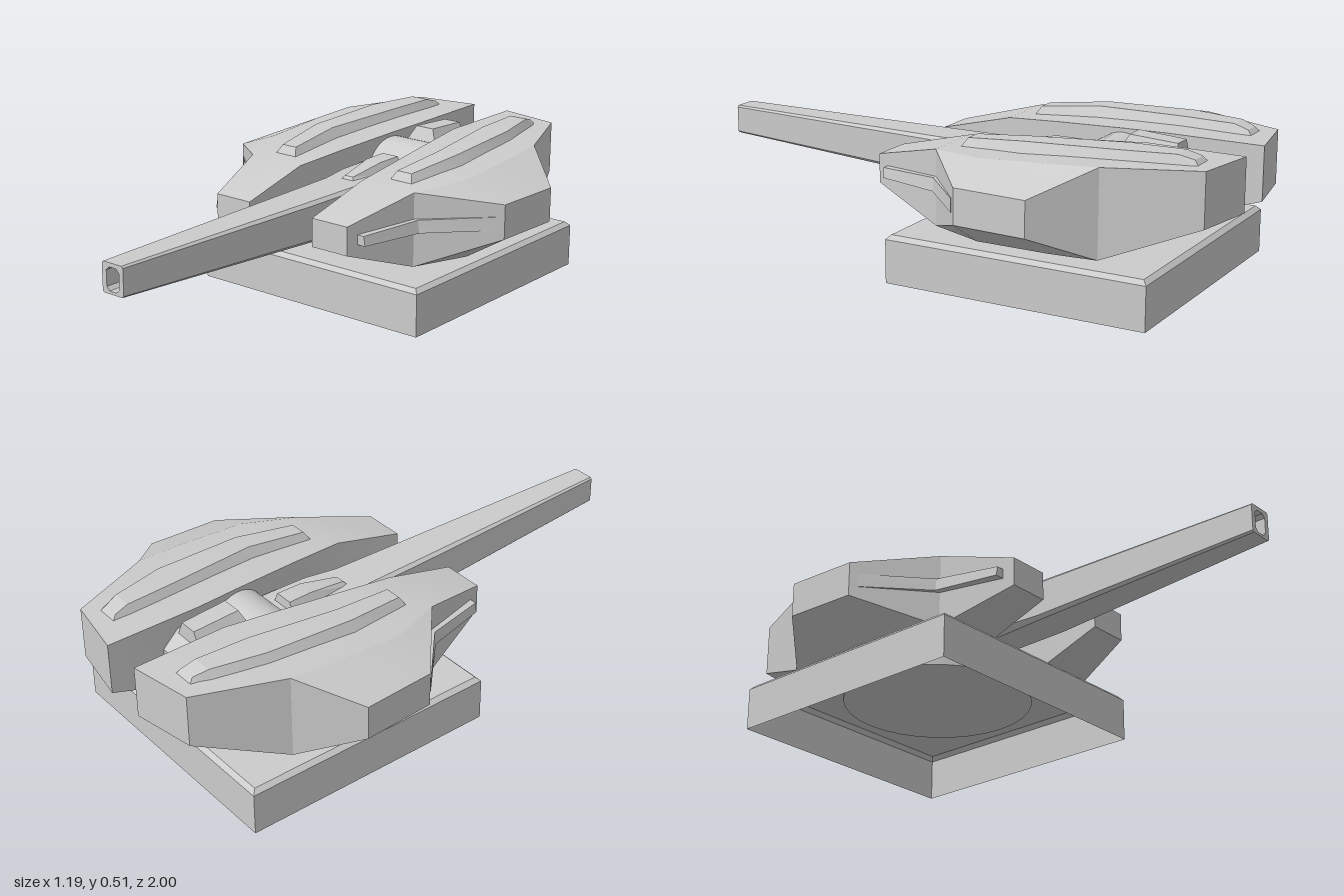
import * as THREE from 'three';
import { toCreasedNormals } from 'three/addons/utils/BufferGeometryUtils.js';

const material = new THREE.MeshStandardMaterial({ color: 0xcccccc });
const shellMaterial = new THREE.MeshStandardMaterial({ color: 0xcccccc, side: THREE.DoubleSide });

// Skin over rings of [x, y, z] corners, counter-clockwise seen from the end the rings run towards
function loft(rings, capStart = true, capEnd = true, crease = 0.2) {
  const n = rings[0].length;
  const position = [];
  const tri = (a, b, c) => position.push(...a, ...b, ...c);
  for (let i = 0; i < rings.length - 1; i++) {
    for (let j = 0; j < n; j++) {
      const k = (j + 1) % n;
      tri(rings[i][j], rings[i][k], rings[i + 1][k]);
      tri(rings[i][j], rings[i + 1][k], rings[i + 1][j]);
    }
  }
  const first = rings[0], last = rings[rings.length - 1];
  for (let j = 1; j < n - 1; j++) {
    if (capStart) tri(first[0], first[j + 1], first[j]);
    if (capEnd) tri(last[0], last[j], last[j + 1]);
  }
  const g = new THREE.BufferGeometry();
  g.setAttribute('position', new THREE.Float32BufferAttribute(position, 3));
  return toCreasedNormals(g, crease);
}

const mirror = (rings) => rings.map((r) => r.map(([x, y, z]) => [-x, y, z]).reverse());

// Trapezoid ring across z: x0..x1 at the bottom, pulled in by inset at the top
const trapezoid = (z, x0, x1, yb, yt, inset, zTop = z) => [
  [x0, yb, z], [x1, yb, z], [x1 - inset, yt, zTop], [x0 + inset, yt, zTop],
];

// Eight-sided ring across z, with separate top and bottom chamfers
const octagon = (z, w, yb, yt, cb, ct) => [
  [w - cb, yb, z], [w, yb + cb, z], [w, yt - ct, z], [w - ct, yt, z],
  [ct - w, yt, z], [-w, yt - ct, z], [-w, yb + cb, z], [cb - w, yb, z],
];

export function createModel() {
  const group = new THREE.Group();
  const add = (name, geometry, mat = material) => {
    const mesh = new THREE.Mesh(geometry, mat);
    mesh.name = name;
    group.add(mesh);
    return mesh;
  };
  const addPair = (name, rings) => {
    add(`left${name}`, loft(rings));
    add(`right${name}`, loft(mirror(rings)));
  };

  // Hollow square base, open underneath, with a chamfered top edge
  const square = (y, h) => [[h, y, h - 0.38], [h, y, -h - 0.38], [-h, y, -h - 0.38], [-h, y, h - 0.38]];
  add('base', loft([square(0, 0.468), square(0.15, 0.468), square(0.165, 0.453)], false, true), shellMaterial);

  // Turning ring that passes through the base
  add('turretRing', new THREE.CylinderGeometry(0.333, 0.333, 0.09, 32)).position.set(0, 0.165, -0.38);

  // Central body between the armour pods
  const side = new THREE.Shape([
    [-0.05, 0.187], [-0.05, 0.22], [-0.08, 0.235], [-0.4, 0.235], [-0.5, 0.44],
    [-0.74, 0.44], [-0.8, 0.38], [-0.8, 0.24], [-0.66, 0.187],
  ].map(([z, y]) => new THREE.Vector2(-z, y)));
  const body = new THREE.ExtrudeGeometry(side, { depth: 0.2, bevelEnabled: false });
  body.translate(0, 0, -0.1).rotateY(Math.PI / 2);
  add('centralBody', body);
  const floor = new THREE.BoxGeometry(0.28, 0.048, 0.5);
  add('turretFloor', floor).position.set(0, 0.21, -0.31);

  // Armour pods: inner edge, bottom, side belt and top at each station
  const pod = (z, zi, xi, xb, yb, xm, yl, yu, xt, yt) => [
    [xi, yb, zi], [xb, yb, z], [xm, yl, z], [xm, yu, z], [xt, yt, z], [xi, yt, zi],
  ];
  addPair('ArmourPod', [
    pod(-0.96, -1.0, 0.075, 0.3, 0.3, 0.3, 0.3, 0.485, 0.3, 0.485),
    pod(-0.66, -0.66, 0.072, 0.42, 0.187, 0.42, 0.187, 0.485, 0.42, 0.485),
    pod(-0.5, -0.5, 0.09, 0.435, 0.187, 0.597, 0.28, 0.402, 0.43, 0.477),
    pod(-0.24, -0.24, 0.118, 0.435, 0.187, 0.585, 0.28, 0.402, 0.43, 0.461),
    pod(-0.04, -0.04, 0.137, 0.357, 0.187, 0.357, 0.187, 0.447, 0.357, 0.447),
    pod(0.225, 0.225, 0.137, 0.285, 0.28, 0.285, 0.28, 0.38, 0.285, 0.38),
  ]);

  // Raised rails along the pod tops
  addPair('TopRail', [
    trapezoid(-0.935, 0.165, 0.265, 0.46, 0.5, 0.02, -0.9),
    trapezoid(-0.85, 0.165, 0.285, 0.46, 0.515, 0.025),
    trapezoid(-0.66, 0.172, 0.33, 0.46, 0.515, 0.028),
    trapezoid(-0.34, 0.21, 0.343, 0.45, 0.503, 0.028),
    trapezoid(-0.095, 0.205, 0.305, 0.44, 0.48, 0.02, -0.12),
  ]);

  // Tapered blades on the front cheeks
  addPair('CheekBlade', [
    trapezoid(-0.22, 0.48, 0.565, 0.313, 0.36, 0),
    trapezoid(-0.04, 0.3, 0.38, 0.31, 0.355, 0.006),
    trapezoid(0.185, 0.27, 0.328, 0.312, 0.346, 0.006),
  ]);

  // Rounded gun cradle lying across the body
  const r = 0.12;
  const cradle = new THREE.LatheGeometry([
    [0, -0.132], [0.06, -0.132], [0.1, -0.125], [r, -0.108],
    [r, 0.108], [0.1, 0.125], [0.06, 0.132], [0, 0.132],
  ].map(([x, y]) => new THREE.Vector2(x, y)), 32);
  const cradleMesh = add('gunCradle', toCreasedNormals(cradle, 0.5));
  cradleMesh.rotation.z = Math.PI / 2;
  cradleMesh.position.set(0, 0.343, -0.5);

  // Gun barrel with a hollow muzzle
  add('gunBarrel', loft([
    octagon(-0.45, 0.11, 0.245, 0.402, 0.05, 0.012),
    octagon(-0.22, 0.105, 0.245, 0.402, 0.05, 0.012),
    octagon(-0.1, 0.082, 0.25, 0.402, 0.025, 0.012),
    octagon(0.15, 0.075, 0.258, 0.402, 0.012, 0.012),
    octagon(1, 0.045, 0.302, 0.404, 0.006, 0.006),
    octagon(1, 0.027, 0.312, 0.39, 0.012, 0.012),
    octagon(0.9, 0.027, 0.312, 0.39, 0.012, 0.012),
  ]));

  // Sight block on the barrel and vent block on the body
  add('barrelSight', loft([
    trapezoid(-0.375, -0.052, 0.052, 0.395, 0.437, 0.018),
    trapezoid(-0.28, -0.05, 0.05, 0.395, 0.437, 0.018),
    trapezoid(-0.125, -0.03, 0.03, 0.395, 0.412, 0.012, -0.14),
  ]));
  add('bodyVent', loft([
    trapezoid(-0.75, -0.058, 0.058, 0.43, 0.485, 0.025),
    trapezoid(-0.55, -0.07, 0.07, 0.43, 0.495, 0.034, -0.58),
  ]));

  return group;
}
